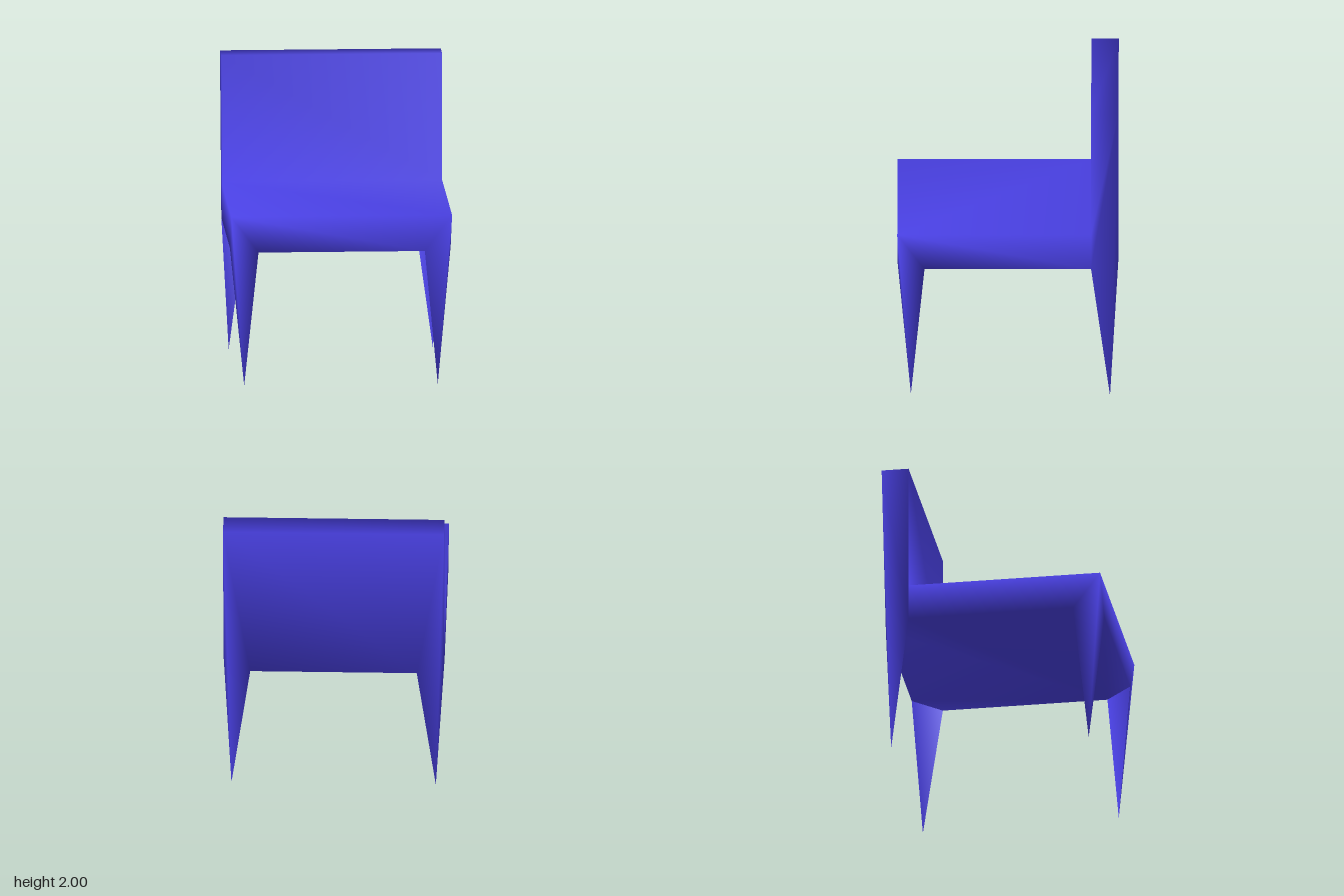
import * as THREE from 'three';

// Corner points of the +x half; index + HALF is the mirrored point at -x.
const points = [
  [0.64, 0, 0.64],     // 0 front foot
  [0.675, 0, -0.675],  // 1 back foot
  [0.73, 0.91, 0.55],  // 2 front leg root, side
  [0.55, 0.91, 0.73],  // 3 front leg root, front
  [0.73, 0.91, -0.55], // 4 back leg root, side
  [0.55, 0.91, -0.73], // 5 back leg root, rear
  [0.73, 1.15, 0.73],  // 6 seat front corner
  [0.73, 1.15, -0.55], // 7 seat meets backrest
  [0.73, 2, -0.55],    // 8 backrest top, front
  [0.73, 2, -0.73],    // 9 backrest top, rear
];
const HALF = points.length;

// side: faces on the +x half (mirrored to -x); across: faces spanning both halves
const parts = {
  seat: {
    side: [[6, 2, 4, 7]],
    across: [[16, 13, 3, 6], [17, 16, 6, 7], [2, 3, 13, 12, 14, 15, 5, 4]],
  },
  backrest: {
    side: [[7, 4, 9, 8]],
    across: [[18, 17, 7, 8], [19, 18, 8, 9], [9, 5, 15, 19]],
  },
  frontLeg: { side: [[6, 0, 2], [3, 0, 6], [2, 0, 3]] },
  backLeg: { side: [[4, 1, 9], [9, 1, 5], [5, 1, 4]] },
};

const fan = (face) => face.slice(2).flatMap((c, i) => [face[0], face[i + 1], c]);
const mirror = (face) => face.map((i) => (i + HALF) % (2 * HALF)).reverse();

export function createModel() {
  const group = new THREE.Group();
  group.name = 'chair';
  const material = new THREE.MeshStandardMaterial({ color: 0x483fe0 });

  // One shared set of points, so the shading runs smoothly across all parts
  const all = [...points, ...points.map(([x, y, z]) => [-x, y, z])];
  const body = new THREE.BufferGeometry();
  body.setAttribute('position', new THREE.Float32BufferAttribute(all.flat(), 3));

  const pieces = [];
  for (const [name, { side, across }] of Object.entries(parts)) {
    const mirrored = side.map(mirror);
    if (across) {
      pieces.push([name, [...side, ...mirrored, ...across].flatMap(fan)]);
    } else {
      pieces.push([name + 'Left', side.flatMap(fan)]);
      pieces.push([name + 'Right', mirrored.flatMap(fan)]);
    }
  }
  body.setIndex(pieces.flatMap(([, index]) => index));
  body.computeVertexNormals();

  // Cut the body into its named parts, keeping the shared normals
  for (const [name, index] of pieces) {
    body.setIndex(index);
    const mesh = new THREE.Mesh(body.toNonIndexed(), material);
    mesh.name = name;
    group.add(mesh);
  }
  return group;
}
